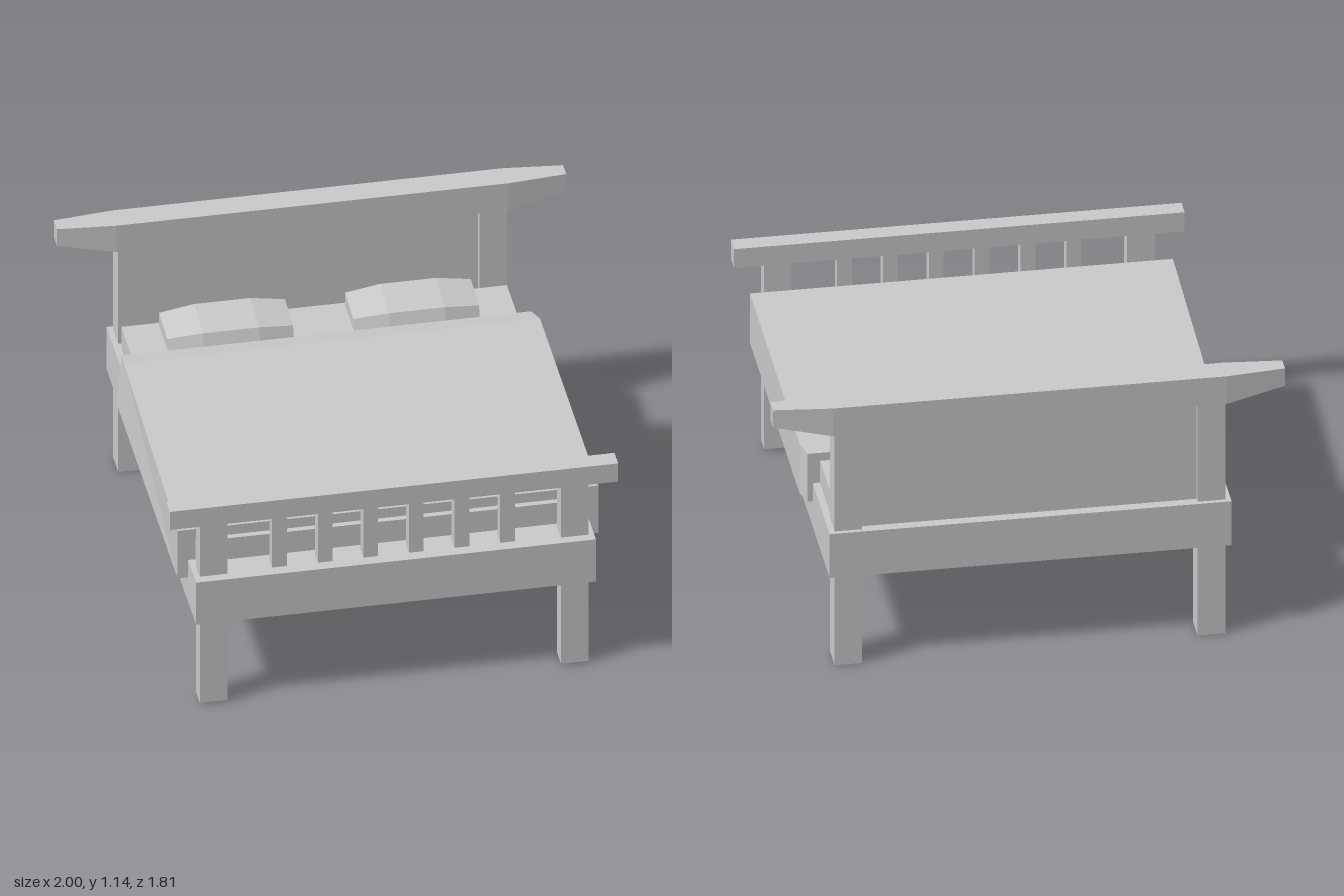
import * as THREE from 'three';

const material = new THREE.MeshStandardMaterial({ color: 0xcccccc, flatShading: true });

// Box given by its limits on each axis
function box(parent, name, [x0, x1], [y0, y1], [z0, z1]) {
  const mesh = new THREE.Mesh(new THREE.BoxGeometry(x1 - x0, y1 - y0, z1 - z0), material);
  mesh.position.set((x0 + x1) / 2, (y0 + y1) / 2, (z0 + z1) / 2);
  mesh.name = name;
  parent.add(mesh);
  return mesh;
}

// Solid through four-cornered rings, each counterclockwise seen from the far end
function loft(parent, name, rings) {
  const pos = [];
  const quad = (a, b, c, d) => [a, b, c, a, c, d].forEach((p) => pos.push(...p));
  for (let i = 0; i < rings.length - 1; i++) {
    for (let j = 0; j < 4; j++) {
      const k = (j + 1) % 4;
      quad(rings[i][j], rings[i][k], rings[i + 1][k], rings[i + 1][j]);
    }
  }
  quad(...[...rings[0]].reverse());
  quad(...rings[rings.length - 1]);
  const geometry = new THREE.BufferGeometry();
  geometry.setAttribute('position', new THREE.Float32BufferAttribute(pos, 3));
  geometry.computeVertexNormals();
  const mesh = new THREE.Mesh(geometry, material);
  mesh.name = name;
  parent.add(mesh);
  return mesh;
}

// Ring across x: bottom front, bottom back, top back, top front as [z, y]
const ringX = (x, corners) => corners.map(([z, y]) => [x, y, z]);
// Ring across z: bottom left, bottom right, top right, top left as [x, y]
const ringZ = (z, corners) => corners.map(([x, y]) => [x, y, z]);

export function createModel() {
  const bed = new THREE.Group();
  bed.name = 'bed';

  // Frame and mattress
  box(bed, 'frame', [-0.785, 0.785], [0.4, 0.595], [-0.903, 0.903]);
  box(bed, 'mattress', [-0.757, 0.757], [0.58, 0.692], [-0.75, 0.767]);

  // Headboard: posts running down to legs, recessed panel, tapered top rail
  const headboard = new THREE.Group();
  headboard.name = 'headboard';
  bed.add(headboard);
  for (const s of [-1, 1]) {
    box(headboard, 'headPost', [s * 0.709 - 0.054, s * 0.709 + 0.054], [0, 1.02], [-0.885, -0.78]);
  }
  box(headboard, 'headPanel', [-0.66, 0.66], [0.58, 1.03], [-0.862, -0.803]);
  const railEnd = [[-0.8, 1.066], [-0.863, 1.066], [-0.863, 1.143], [-0.8, 1.143]];
  const railMid = [[-0.78, 1.02], [-0.887, 1.02], [-0.887, 1.143], [-0.78, 1.143]];
  loft(headboard, 'headRail', [
    ringX(-1, railEnd), ringX(-0.77, railMid), ringX(0.77, railMid), ringX(1, railEnd),
  ]);

  // Footboard: posts, rail and a row of slats
  const footboard = new THREE.Group();
  footboard.name = 'footboard';
  bed.add(footboard);
  for (const s of [-1, 1]) {
    box(footboard, 'footPost', [s * 0.709 - 0.054, s * 0.709 + 0.054], [0.01, 0.83], [0.79, 0.865]);
  }
  box(footboard, 'footRail', [-0.88, 0.88], [0.826, 0.91], [0.79, 0.865]);
  for (let i = 0; i < 6; i++) {
    const x = -0.448 + i * 0.179;
    box(footboard, 'slat', [x - 0.029, x + 0.029], [0.58, 0.83], [0.799, 0.856]);
  }

  // Blanket, narrowing slightly at its folded head end
  loft(bed, 'blanket', [
    ringZ(-0.503, [[-0.825, 0.515], [0.805, 0.515], [0.805, 0.727], [-0.803, 0.727]]),
    ringZ(-0.435, [[-0.826, 0.515], [0.826, 0.515], [0.826, 0.735], [-0.808, 0.735]]),
    ringZ(0.743, [[-0.826, 0.515], [0.826, 0.515], [0.826, 0.735], [-0.826, 0.735]]),
  ]);

  // Pillows, arched across their width
  const pillowEnd = [[-0.548, 0.685], [-0.738, 0.685], [-0.73, 0.752], [-0.567, 0.737]];
  const pillowMid = [[-0.524, 0.685], [-0.756, 0.685], [-0.73, 0.775], [-0.55, 0.757]];
  for (const s of [-1, 1]) {
    const pillow = loft(bed, 'pillow', [
      ringX(-0.247, pillowEnd), ringX(-0.11, pillowMid), ringX(0.11, pillowMid), ringX(0.247, pillowEnd),
    ]);
    pillow.position.x = s * 0.365;
  }

  return bed;
}
